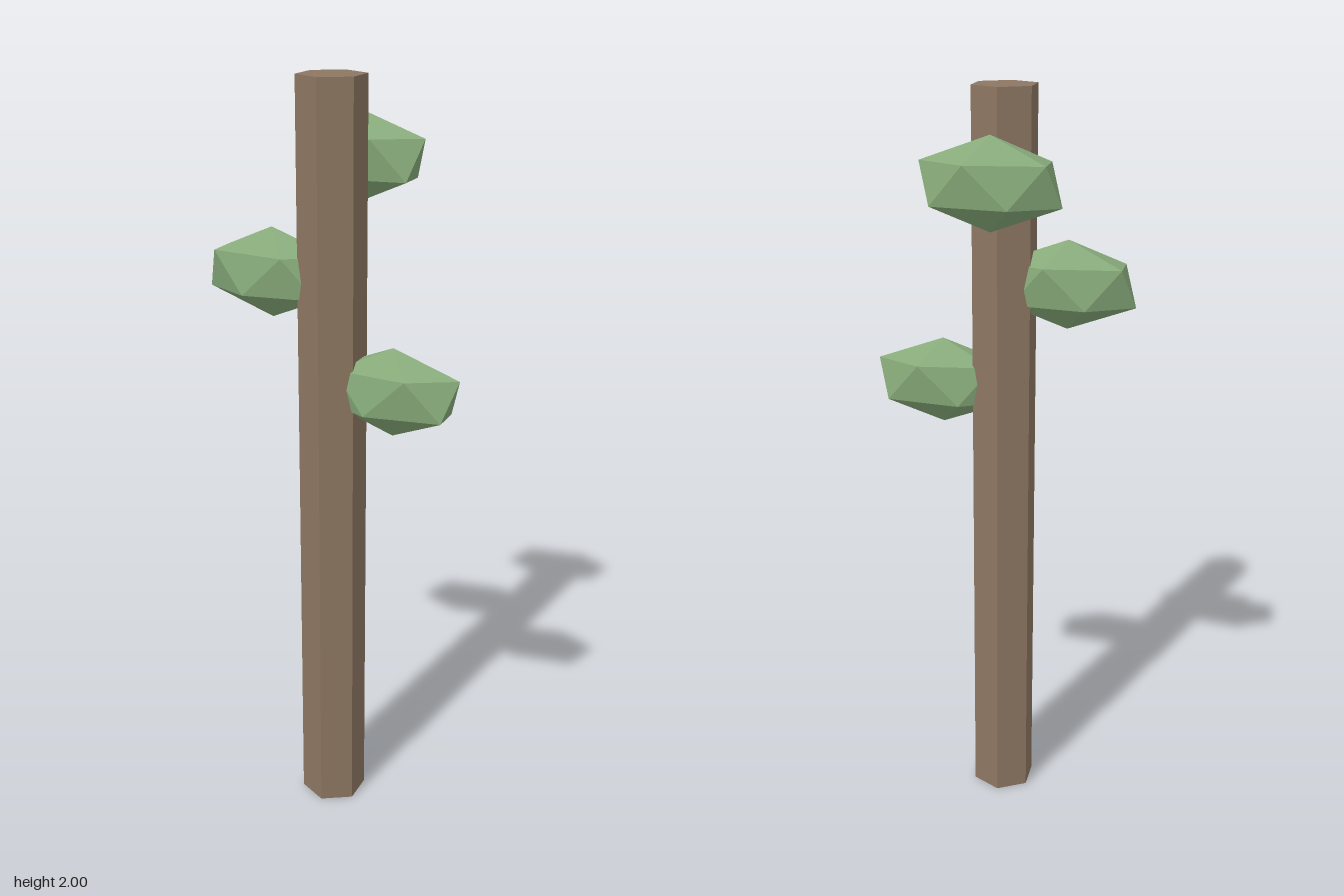
import * as THREE from 'three';

export function createModel() {
  const model = new THREE.Group();
  const bark = new THREE.MeshStandardMaterial({ color: 0x8d7662, flatShading: true });
  bark.name = 'bark brown';
  const leaf = new THREE.MeshStandardMaterial({ color: 0x87aa7a, flatShading: true });
  leaf.name = 'leaf green';

  // Six-sided trunk, set slightly forward
  const trunkZ = 0.072;
  const trunk = new THREE.Mesh(new THREE.CylinderGeometry(0.088, 0.088, 2, 6), bark);
  trunk.name = 'trunk';
  trunk.position.set(0, 1, trunkZ);
  model.add(trunk);

  // Leaf clump: icosahedron tipped onto a vertex, then flattened
  const clump = new THREE.IcosahedronGeometry(1, 0);
  clump.rotateZ(-Math.atan(2 / (1 + Math.sqrt(5))));
  clump.scale(0.199, 0.117, 0.0787);

  const clumps = [
    ['leftLeafClump', 0.167, 1.225, trunkZ],
    ['rightLeafClump', -0.167, 1.503, trunkZ],
    ['backLeafClump', 0, 1.782, -0.096],
  ];
  for (const [name, x, y, z] of clumps) {
    const mesh = new THREE.Mesh(clump, leaf);
    mesh.name = name;
    mesh.position.set(x, y, z);
    model.add(mesh);
  }
  return model;
}
